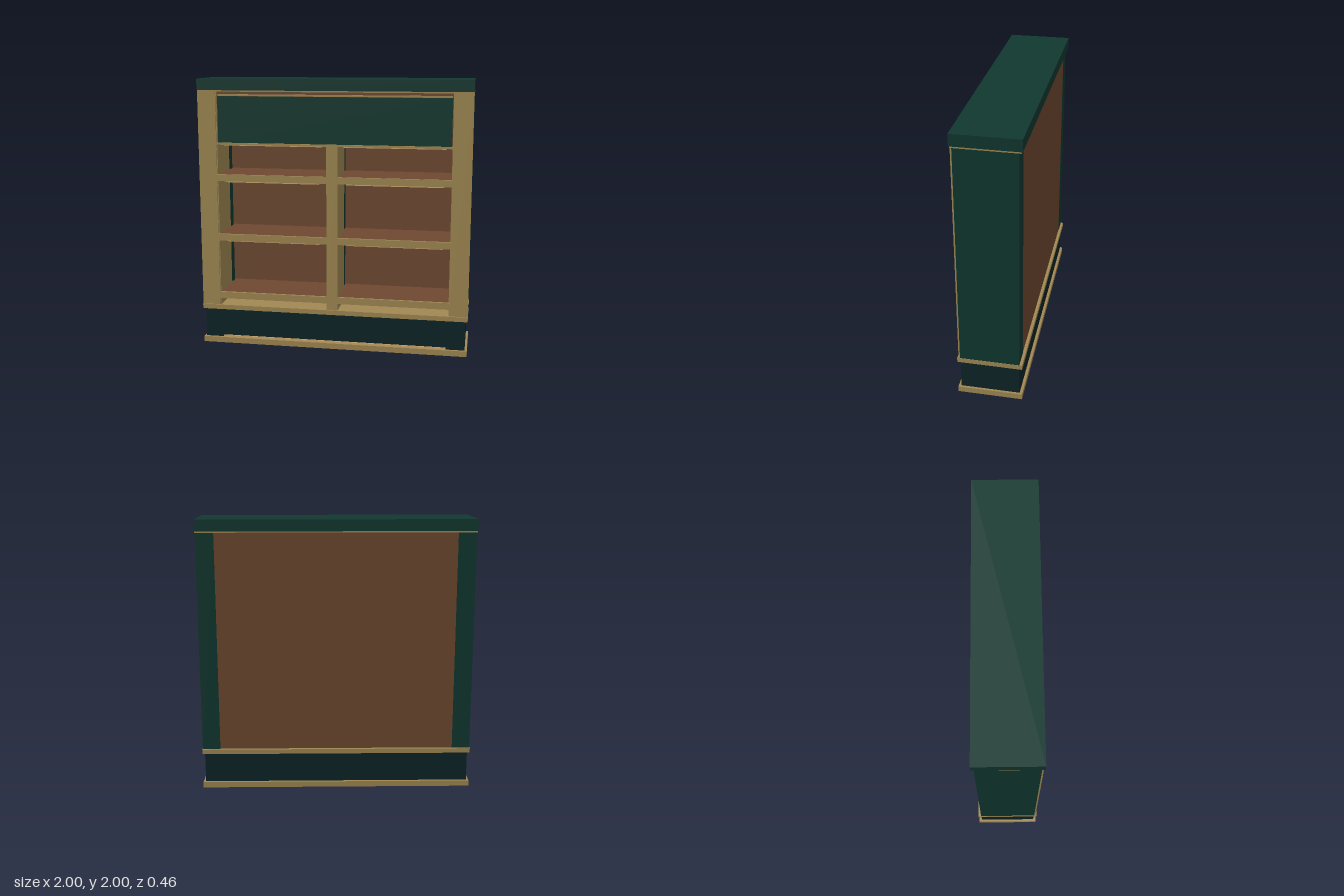
import * as THREE from 'three';

const mat = (name, color) => {
  const m = new THREE.MeshStandardMaterial({ color });
  m.name = name;
  return m;
};

export function createModel() {
  const model = new THREE.Group();
  model.name = 'bookcase';
  const green = mat('deep green', 0x10382f);
  const dark = mat('dark teal', 0x0d2427);
  const gold = mat('antique gold', 0xa18953);
  const brown = mat('walnut brown', 0x6f4931);
  const light = mat('pale strip', 0xd2aa6c);

  // box given by its min and max on each axis
  const box = (name, m, x0, x1, y0, y1, z0, z1) => {
    const mesh = new THREE.Mesh(new THREE.BoxGeometry(x1 - x0, y1 - y0, z1 - z0), m);
    mesh.position.set((x0 + x1) / 2, (y0 + y1) / 2, (z0 + z1) / 2);
    mesh.name = name;
    model.add(mesh);
  };
  // the same box on both sides of x = 0
  const pair = (name, m, x0, x1, ...rest) => {
    box(name + 'Left', m, x0, x1, ...rest);
    box(name + 'Right', m, -x1, -x0, ...rest);
  };

  // plinth and crown
  box('footPlate', gold, -1, 1, 0, 0.042, -0.23, 0.23);
  box('plinth', dark, -0.983, 0.983, 0.042, 0.265, -0.21, 0.21);
  box('plinthStrip', light, -0.845, 0.845, 0.042, 0.057, 0.21, 0.218);
  box('ledge', gold, -1, 1, 0.265, 0.3, -0.23, 0.23);
  box('crownTrim', gold, -0.999, 0.999, 1.907, 1.917, -0.222, 0.222);
  box('crown', green, -1, 1, 1.917, 2, -0.23, 0.23);

  // side posts with gold face and inner lining
  pair('sidePost', green, 0.867, 0.998, 0.3, 1.907, -0.21, 0.21);
  pair('postFace', gold, 0.865, 1, 0.3, 1.907, 0.21, 0.22);
  pair('postLining', gold, 0.859, 0.867, 0.3, 1.907, -0.07, 0.21);
  box('backPanel', brown, -0.867, 0.867, 0.3, 1.907, -0.208, -0.17);

  // central divider
  box('dividerCore', green, -0.034, 0.034, 0.3, 1.52, -0.17, -0.07);
  box('divider', gold, -0.042, 0.042, 0.3, 1.52, -0.07, 0.22);

  // header panel in its frame
  box('headerBacking', brown, -0.859, 0.859, 1.535, 1.907, 0.17, 0.19);
  box('headerPanel', green, -0.853, 0.853, 1.535, 1.873, 0.19, 0.208);
  box('headerStrip', gold, -0.85, 0.85, 1.875, 1.888, 0.19, 0.204);
  box('headerRail', gold, -0.865, 0.865, 1.52, 1.535, 0.16, 0.22);
  box('headerFloor', brown, -0.859, 0.859, 1.52, 1.535, -0.17, 0.16);
  pair('headerLight', light, 0.08, 0.815, 1.512, 1.52, 0.17, 0.19);

  // shelves on both sides of the divider
  for (const y of [0.35, 0.8, 1.25]) {
    pair('shelf', brown, 0.034, 0.859, y + 0.005, y + 0.048, -0.17, 0.205);
    pair('shelfEdge', gold, 0.042, 0.865, y, y + 0.05, 0.205, 0.223);
    pair('shelfLight', light, 0.1, 0.805, y - 0.012, y + 0.005, 0.17, 0.19);
  }

  return model;
}
